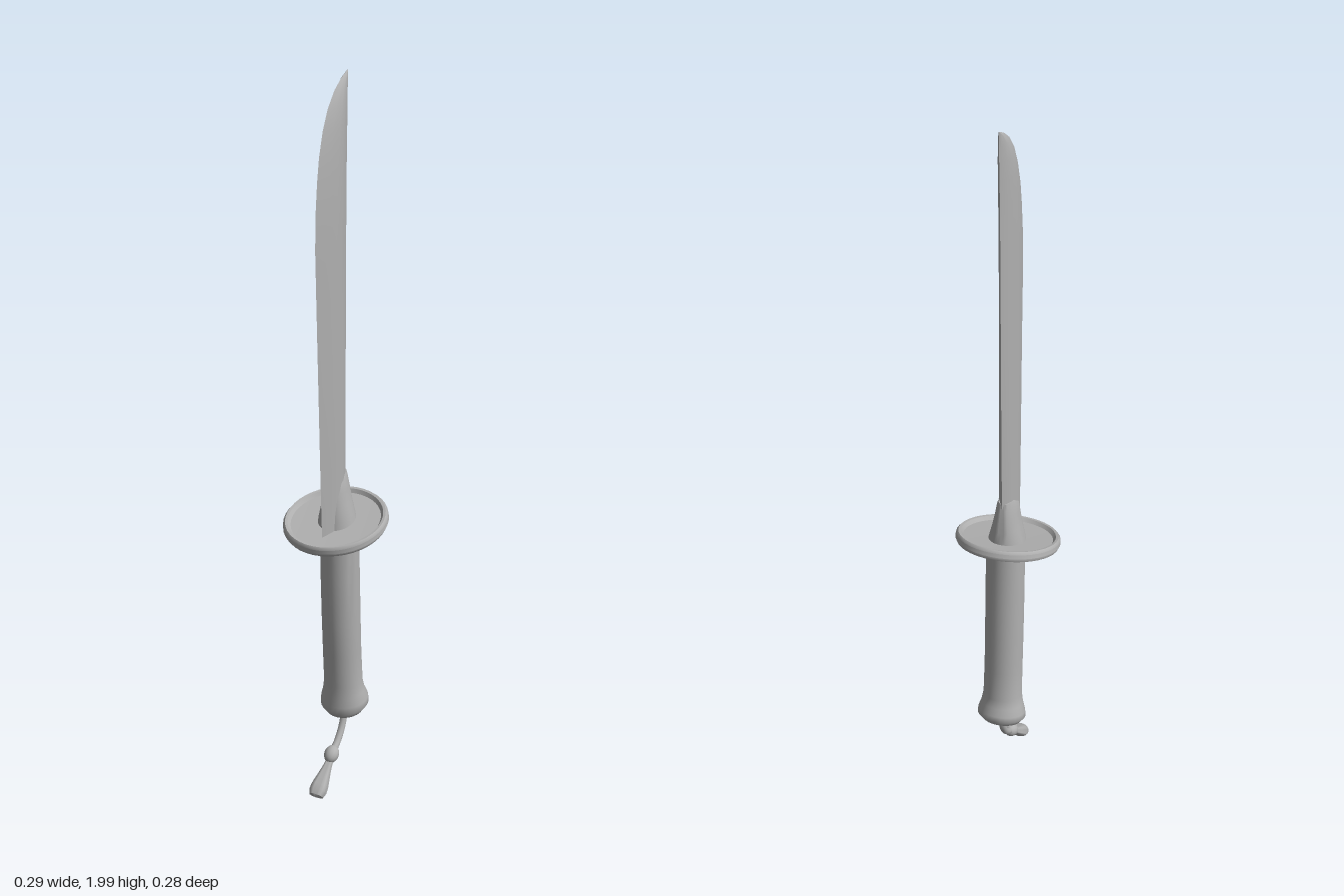
import * as THREE from 'three';
import { toCreasedNormals } from 'three/addons/utils/BufferGeometryUtils.js';

const steel = new THREE.MeshStandardMaterial({ color: 0xb0b0b0 });
steel.name = 'plain grey';

// Skin a stack of closed rings (each ordered from +x towards +z) and cap both ends.
function loft(rings, crease) {
  const n = rings[0].length, pos = rings.flat(2), index = [];
  for (let j = 0; j < rings.length - 1; j++) {
    for (let i = 0; i < n; i++) {
      const a = j * n + i, b = j * n + (i + 1) % n;
      index.push(a, a + n, b, b, a + n, b + n);
    }
  }
  const last = (rings.length - 1) * n;
  for (let i = 1; i < n - 1; i++) {
    index.push(0, i, i + 1, last, last + i + 1, last + i);
  }
  const geo = new THREE.BufferGeometry();
  geo.setAttribute('position', new THREE.Float32BufferAttribute(pos, 3));
  geo.setIndex(index);
  return toCreasedNormals(geo, crease);
}

// Elliptical ring; slope lifts the back (-z) side.
function oval([y, z, hx, hz, slope = 0], sides = 28) {
  return Array.from({ length: sides }, (_, i) => {
    const a = (i / sides) * Math.PI * 2;
    return [hx * Math.cos(a), y - slope * Math.sin(a), z + hz * Math.sin(a)];
  });
}

// Lens-shaped blade ring between cutting edge (front) and spine (back).
function lens([y, front, back, half]) {
  const side = [[0.25, 0.62], [0.45, 0.95], [0.6, 1], [0.8, 0.72], [0.94, 0.28]];
  const at = (t, w, s) => [s * w * half, y, front + (back - front) * t];
  return [
    ...side.slice().reverse().map(([t, w]) => at(t, w, 1)),
    at(0, 0, 1),
    ...side.map(([t, w]) => at(t, w, -1)),
    at(1, 0, 1),
  ];
}

const lathe = (profile, sides) =>
  new THREE.LatheGeometry(profile.map(([x, y]) => new THREE.Vector2(x, y)), sides);

export function createModel() {
  const model = new THREE.Group();
  const add = (name, geo, material = steel) => {
    const mesh = new THREE.Mesh(geo, material);
    mesh.name = name;
    model.add(mesh);
    return mesh;
  };

  // Blade: y, edge z, spine z, half thickness
  add('blade', loft([
    [0.79, 0.082, -0.045, 0.025], [0.95, 0.09, -0.05, 0.025], [1.2, 0.1, -0.053, 0.024],
    [1.4, 0.108, -0.055, 0.023], [1.58, 0.115, -0.056, 0.023], [1.68, 0.111, -0.057, 0.023],
    [1.75, 0.103, -0.058, 0.022], [1.81, 0.092, -0.059, 0.021], [1.87, 0.072, -0.061, 0.019],
    [1.92, 0.045, -0.063, 0.016], [1.96, 0.008, -0.064, 0.011], [1.985, -0.03, -0.065, 0.006],
    [2, -0.064, -0.066, 0.001],
  ].map(lens), 0.5));

  // Collar hugging the blade root
  add('collar', loft([
    [0.79, -0.01, 0.054, 0.058], [0.82, -0.009, 0.049, 0.056], [0.86, -0.007, 0.039, 0.053],
    [0.9, -0.005, 0.031, 0.05], [0.93, -0.004, 0.026, 0.046, -0.003], [0.945, -0.01, 0.02, 0.036],
  ].map((r) => oval(r)), 0.8));

  // Dished round guard, tilted down towards the edge
  const guard = add('guard', toCreasedNormals(lathe([
    [0, -0.012], [0.1, -0.013], [0.127, -0.016], [0.138, -0.013], [0.143, -0.003],
    [0.142, 0.008], [0.136, 0.015], [0.129, 0.014], [0.122, 0.004], [0, 0],
  ], 40), 0.7));
  guard.position.y = 0.808;
  guard.rotation.x = 0.25;
  guard.scale.z = 1.02;

  // Curved grip with a flared, slanted pommel
  add('grip', loft([
    [0.205, -0.052, 0.035, 0.034, 0.005], [0.214, -0.055, 0.056, 0.05, 0.012],
    [0.232, -0.056, 0.069, 0.062, 0.015], [0.25, -0.055, 0.068, 0.06, 0.013],
    [0.275, -0.05, 0.06, 0.054, 0.008], [0.305, -0.047, 0.055, 0.051, 0.004],
    [0.4, -0.039, 0.054, 0.052], [0.5, -0.033, 0.054, 0.053], [0.65, -0.026, 0.054, 0.053],
    [0.81, -0.02, 0.053, 0.053],
  ].map((r) => oval(r)), 0.8));

  // Cord hanging from the pommel
  const cord = new THREE.CatmullRomCurve3([
    [0, 0.22, -0.052], [0, 0.185, -0.05], [0, 0.15, -0.034], [0, 0.12, -0.006], [0, 0.102, 0.026],
  ].map((p) => new THREE.Vector3(...p)));
  add('cord', new THREE.TubeGeometry(cord, 24, 0.01, 10));

  // Knot and flaring tassel, both lying along the cord's end
  const down = new THREE.Vector3(0, -0.62, 0.78).normalize();
  const align = new THREE.Quaternion().setFromUnitVectors(new THREE.Vector3(0, 1, 0), down);
  const knot = add('knot', new THREE.SphereGeometry(0.021, 14, 10));
  knot.position.set(0, 0.1, 0.027);
  knot.quaternion.copy(align);
  knot.scale.y = 1.25;

  const tassel = add('tassel', toCreasedNormals(lathe([
    [0, 0], [0.011, 0.002], [0.013, 0.02], [0.019, 0.05], [0.025, 0.078],
    [0.026, 0.095], [0.021, 0.11], [0.014, 0.108], [0, 0.09],
  ], 16), 0.8));
  tassel.position.set(0, 0.086, 0.038);
  tassel.quaternion.copy(align);
  tassel.scale.z = 0.75;

  return model;
}
